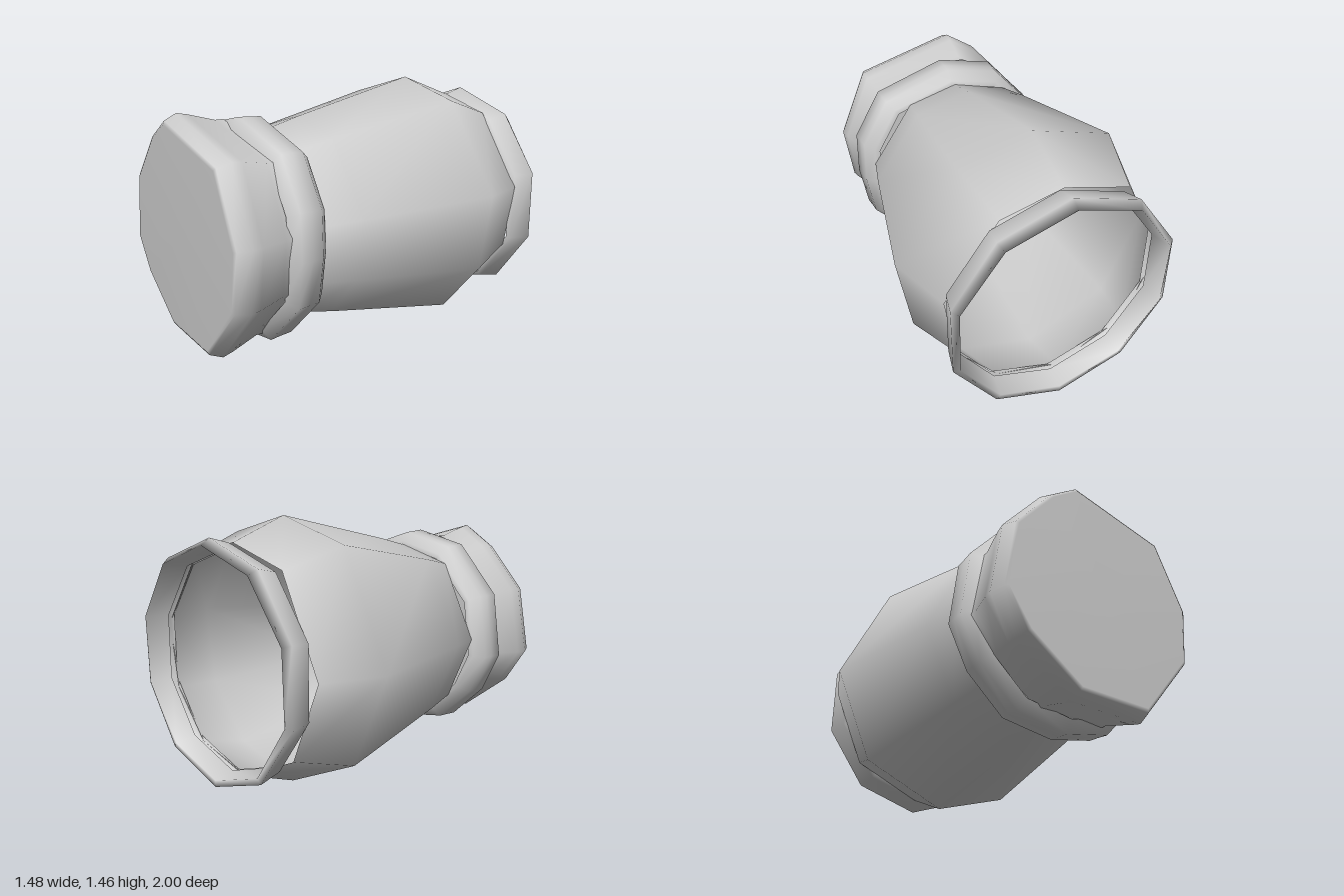
import * as THREE from 'three';

const material = new THREE.MeshStandardMaterial({ color: 0xcccccc, side: THREE.DoubleSide });

// Outlines are clockwise seen from +z, relative to the part's centre.
const bodyOutline = [
  [0, 0.73], [0.40, 0.63], [0.74, 0.15], [0.67, -0.29], [0.40, -0.61],
  [-0.04, -0.73], [-0.52, -0.51], [-0.74, 0], [-0.45, 0.60],
];
const capOutline = [
  [-0.14, 0.61], [0.43, 0.46], [0.60, 0.08], [0.56, -0.25], [0.25, -0.60],
  [-0.18, -0.58], [-0.48, -0.35], [-0.61, -0.15], [-0.54, 0.24], [-0.31, 0.50],
];
const bandOutline = [
  [0.02, 0.60], [0.42, 0.475], [0.58, 0.215], [0.59, -0.035], [0.55, -0.285], [0.28, -0.555],
  [0.02, -0.60], [-0.28, -0.545], [-0.49, -0.345], [-0.60, -0.115], [-0.55, 0.245], [-0.30, 0.525],
];
const roundOutline = Array.from({ length: 10 }, (_, i) => {
  const a = (i / 10) * Math.PI * 2;
  return [Math.sin(a), Math.cos(a)];
});

// Skin an outline through [z, scale, tilt] sections with smooth normals;
// tilt leans a section along z in proportion to height.
function loft(name, outline, sections, cx, cy) {
  const n = outline.length;
  const positions = [];
  const index = [];
  sections.forEach(([z, s, tilt = 0], k) => {
    outline.forEach(([x, y], i) => {
      positions.push(cx + x * s, cy + y * s, z + tilt * y);
      if (k === sections.length - 1) return;
      const a = k * n + i;
      const b = k * n + ((i + 1) % n);
      index.push(a, b, a + n, b, b + n, a + n);
    });
  });
  const geometry = new THREE.BufferGeometry();
  geometry.setAttribute('position', new THREE.Float32BufferAttribute(positions, 3));
  geometry.setIndex(index);
  geometry.computeVertexNormals();
  const mesh = new THREE.Mesh(geometry, material);
  mesh.name = name;
  return mesh;
}

export function createModel() {
  const group = new THREE.Group();
  group.name = 'vessel';

  // Closed end: flat face, rounded rim and pinched waist
  group.add(loft('endCap', capOutline, [
    [1, 0], [1, 0.92], [0.99, 0.95], [0.92, 1], [0.86, 0.98], [0.71, 0.91], [0.66, 0.91],
  ], 0, 0.75));

  // Raised band between the cap and the body
  group.add(loft('band', bandOutline, [
    [0.69, 0.89], [0.65, 1], [0.58, 0.99], [0.52, 0.985], [0.47, 0.90], [0.465, 0.85],
  ], 0, 0.735));

  // Swelling thin-walled body, hollow and widest towards the mouth
  group.add(loft('body', bodyOutline, [
    [0.47, 0.68], [0.465, 0.715], [0.27, 0.78], [-0.5, 1], [-0.83, 0.83],
  ], 0, 0.73));

  // Thin mouth collar flaring from the neck, rolled in at the edge
  group.add(loft('mouthCollar', roundOutline, [
    [-0.82, 0.585], [-0.835, 0.61], [-0.96, 0.64, 0.01], [-0.985, 0.605, -0.015], [-0.86, 0.58],
  ], 0.025, 0.725));

  return group;
}
